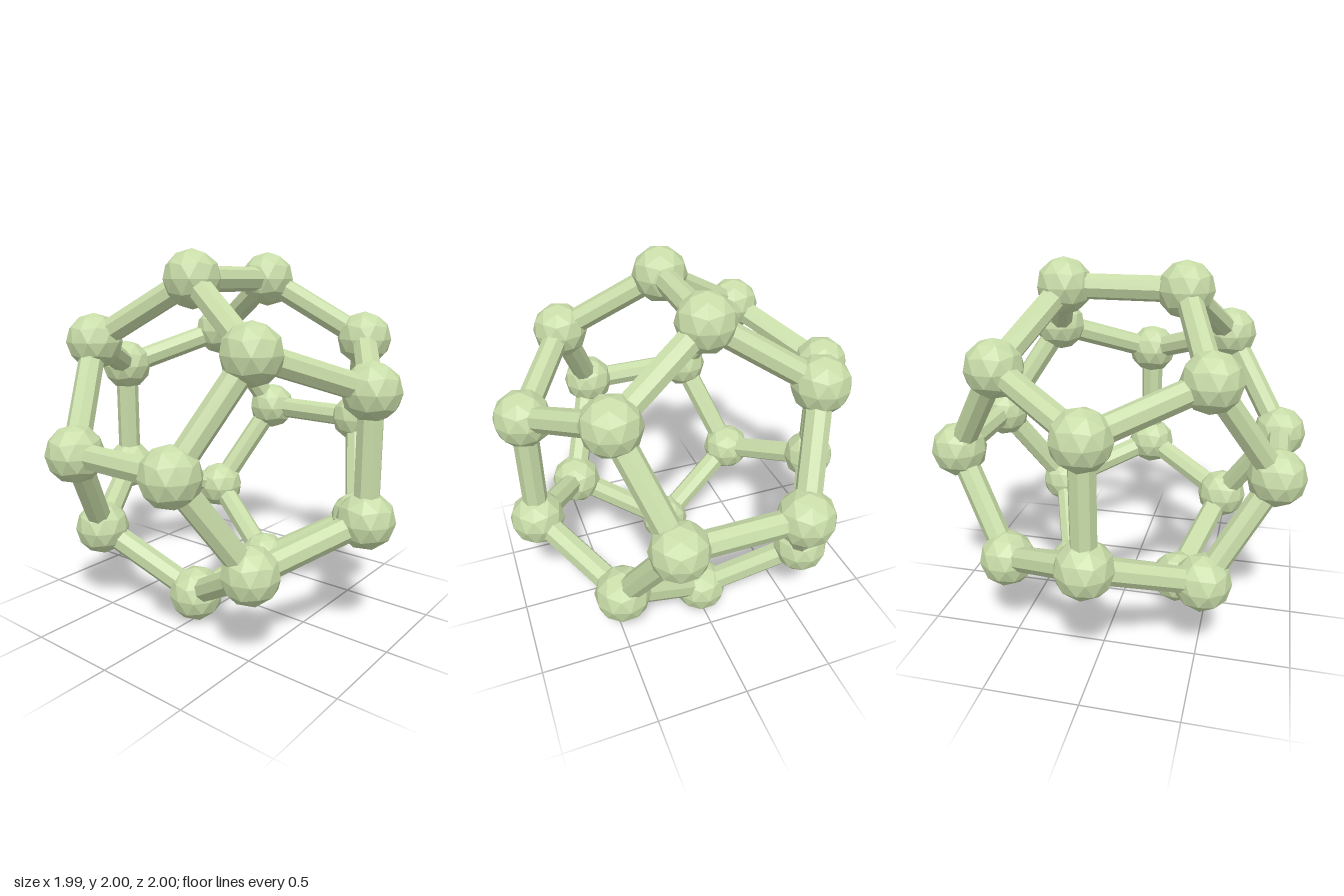
import * as THREE from 'three';

const BALL_R = 0.15, BAR_R = 0.067;
const A = 0.85, B = A * 0.618034, C = A * 0.381966; // dodecahedron corner coordinates

// The 20 corners of a regular dodecahedron
function corners() {
  const pts = [];
  for (const s of [-1, 1]) for (const t of [-1, 1]) {
    pts.push(new THREE.Vector3(s * C, 0, t * A));
    pts.push(new THREE.Vector3(0, s * A, t * C));
    pts.push(new THREE.Vector3(s * A, t * C, 0));
    for (const u of [-1, 1]) pts.push(new THREE.Vector3(s * B, t * B, u * B));
  }
  return pts;
}

export function createModel() {
  const group = new THREE.Group();
  group.name = 'dodecahedronFrame';
  const material = new THREE.MeshStandardMaterial({ color: 0xc8dca8, flatShading: true });
  const pts = corners();

  // Faceted ball joints, each with a corner pointing straight up
  const ballGeometry = new THREE.IcosahedronGeometry(BALL_R, 1);
  ballGeometry.rotateZ(-Math.atan(0.618034));
  pts.forEach((p) => {
    const ball = new THREE.Mesh(ballGeometry, material);
    ball.name = 'ballJoint';
    ball.position.copy(p);
    group.add(ball);
  });

  // Eight-sided bars along the 30 edges
  const edge = 2 * C;
  const barGeometry = new THREE.CylinderGeometry(BAR_R, BAR_R, edge, 8);
  const up = new THREE.Vector3(0, 1, 0);
  pts.forEach((p, i) => {
    for (const q of pts.slice(i + 1)) {
      if (p.distanceTo(q) > edge * 1.05) continue;
      const bar = new THREE.Mesh(barGeometry, material);
      bar.name = 'bar';
      bar.position.addVectors(p, q).multiplyScalar(0.5);
      bar.quaternion.setFromUnitVectors(up, q.clone().sub(p).normalize());
      group.add(bar);
    }
  });

  group.children.forEach((part) => { part.position.y += 1; });
  return group;
}
